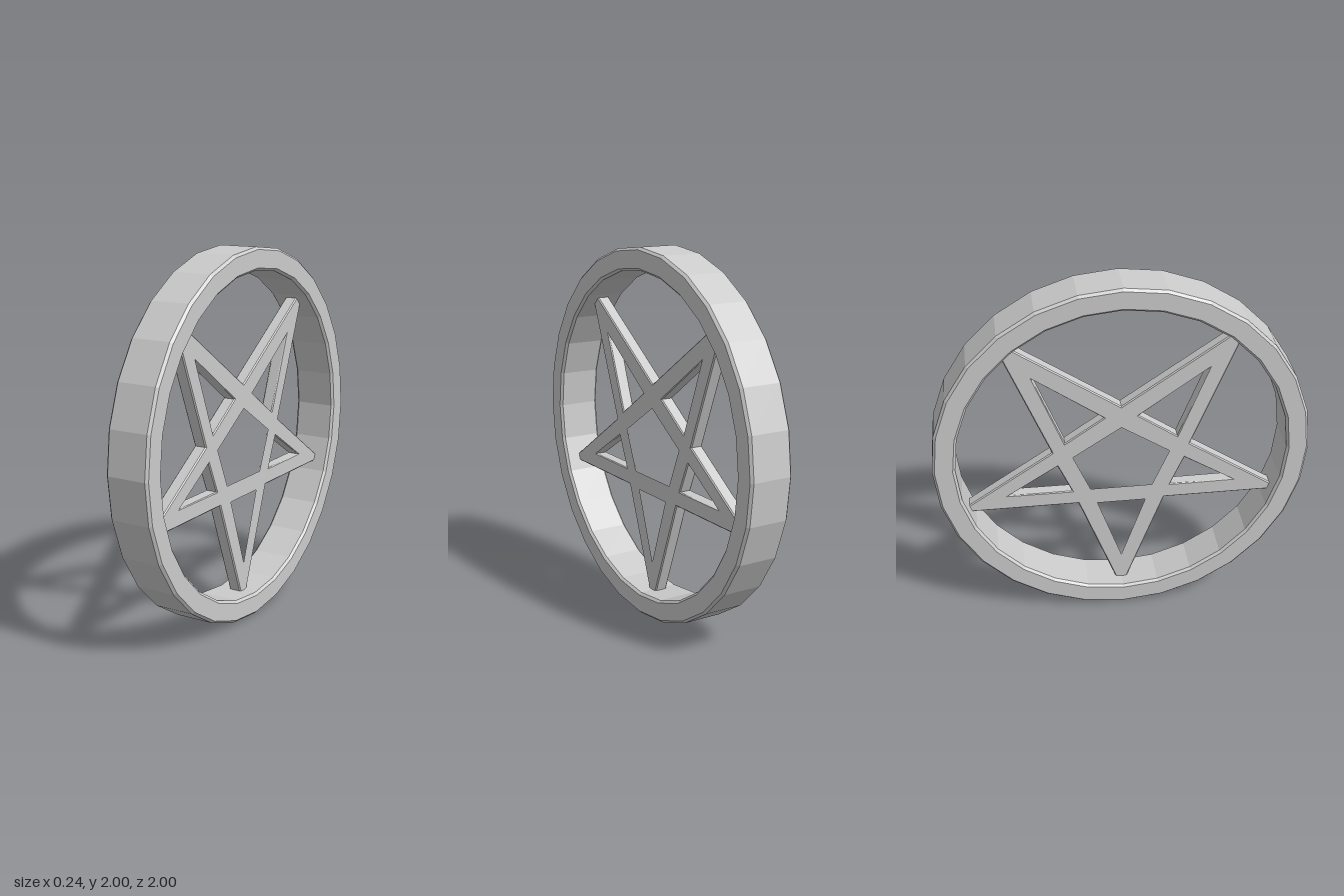
import * as THREE from 'three';

export function createModel() {
  const group = new THREE.Group();
  const material = new THREE.MeshStandardMaterial({ color: 0xcccccc, flatShading: true });
  const vectors = (list) => list.map(([a, b]) => new THREE.Vector2(a, b));
  const mirror = (list) => list.map(([a, b]) => [-a, b]).reverse();

  // Faceted ring: chamfered rectangular section turned around the x axis
  const outer = 1, inner = 0.88, half = 0.12, c = 0.013;
  const section = vectors([
    [outer, -half + c], [outer, half - c], [outer - c, half], [inner + c, half],
    [inner, half - c], [inner, -half + c], [inner + c, -half], [outer - c, -half],
    [outer, -half + c],
  ]);
  const ring = new THREE.Mesh(new THREE.LatheGeometry(section, 28), material);
  ring.name = 'ring';
  ring.rotation.z = Math.PI / 2;
  ring.position.y = 1;
  group.add(ring);

  // Star of five crossing bars: half outline mirrored, tips set into the ring
  const side = [
    [0.60, 1.69], [0.63, 1.67], [0.37, 1.016], [0.86, 0.689],
    [0.86, 0.668], [0.236, 0.668], [0.025, 0.10],
  ];
  const shape = new THREE.Shape(vectors([[0, 1.278], ...side, ...mirror(side)]));

  // Openings: one in each point and the pentagon in the middle
  const upper = [[0.461, 1.481], [0.091, 1.214], [0.30, 1.07]];
  const lower = [[0.617, 0.754], [0.343, 0.925], [0.268, 0.754]];
  const bottom = [[-0.139, 0.668], [0.139, 0.668], [0, 0.273]];
  const centre = [[0, 1.155], [0.268, 0.979], [0.172, 0.754], [-0.172, 0.754], [-0.268, 0.979]];
  for (const hole of [upper, mirror(upper), lower, mirror(lower), bottom, centre]) {
    shape.holes.push(new THREE.Path(vectors(hole)));
  }

  const thickness = 0.07, bevel = 0.006;
  const starGeometry = new THREE.ExtrudeGeometry(shape, {
    depth: thickness - 2 * bevel,
    bevelThickness: bevel, bevelSize: bevel, bevelOffset: -bevel, bevelSegments: 1,
  });
  starGeometry.translate(0, 0, bevel - thickness / 2);
  const star = new THREE.Mesh(starGeometry, material);
  star.name = 'star';
  star.rotation.y = Math.PI / 2;
  group.add(star);

  return group;
}
